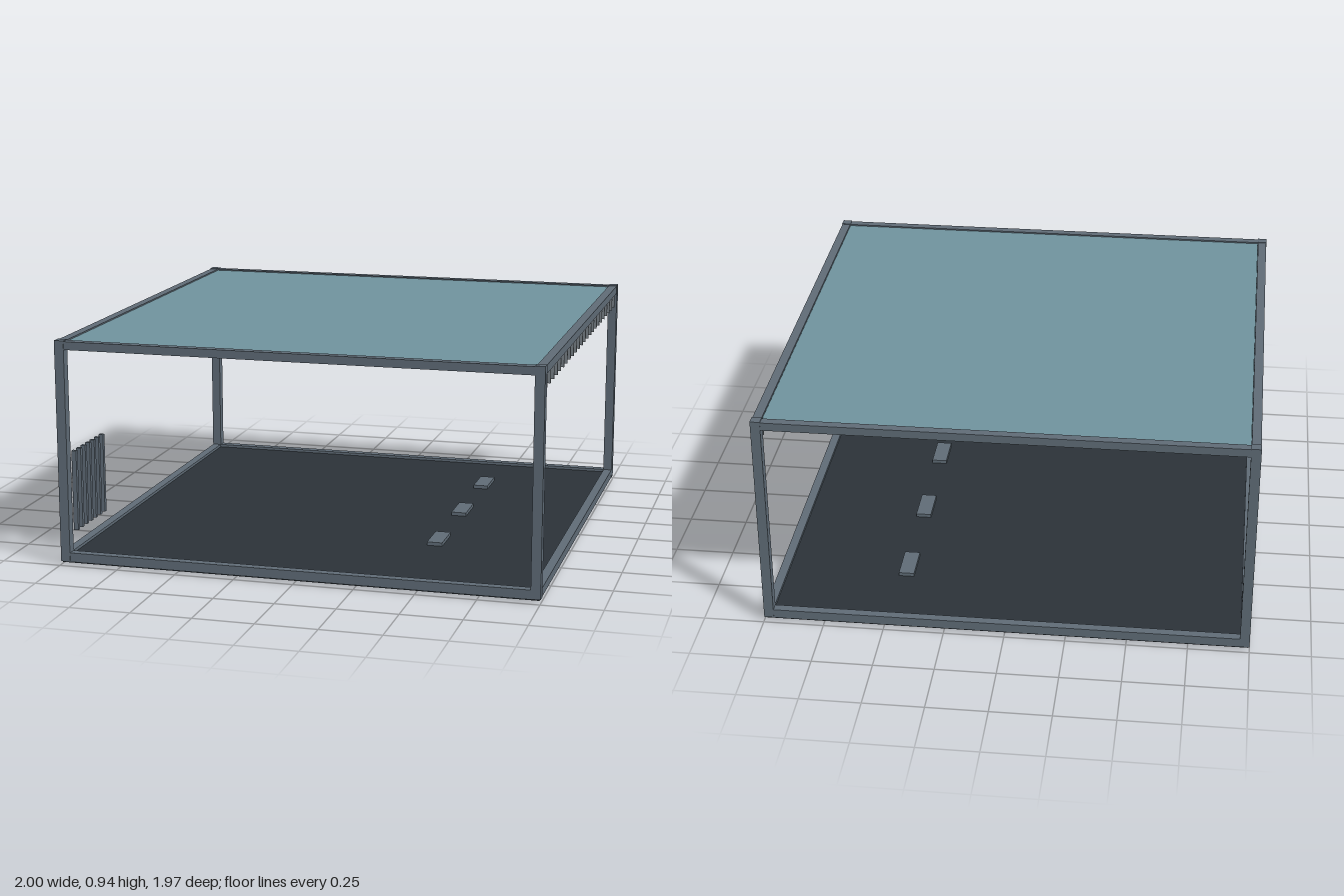
import * as THREE from 'three';

const mat = (name, color) => {
  const m = new THREE.MeshStandardMaterial({ color });
  m.name = name;
  return m;
};

export function createModel() {
  const steel = mat('slate steel', 0x5f6b76);
  const glass = mat('blue grey roof', 0x6f929d);
  const dark = mat('dark floor', 0x2b3238);
  const grey = mat('light grey', 0x767e85);

  const model = new THREE.Group();
  model.name = 'pavilion';

  const group = (name) => {
    const g = new THREE.Group();
    g.name = name;
    model.add(g);
    return g;
  };
  // Box given by its size and centre
  const box = (parent, name, material, w, h, d, x, y, z) => {
    const mesh = new THREE.Mesh(new THREE.BoxGeometry(w, h, d), material);
    mesh.name = name;
    mesh.position.set(x, y, z);
    parent.add(mesh);
    return mesh;
  };

  const W = 2, D = 1.97, T = 0.04;
  const px = W / 2 - T / 2, pz = D / 2 - T / 2;

  // Base plate and roof panel
  box(model, 'floor', dark, W - 0.01, 0.03, D - 0.01, 0, 0.025, 0);
  box(model, 'roofPanel', glass, W - 2 * T, 0.016, D - 2 * T, 0, 0.924, 0);

  // Frame: four posts, with a ring of beams below and above
  const frame = group('frame');
  for (const sx of [-1, 1]) {
    for (const sz of [-1, 1]) {
      box(frame, 'post', steel, T, 0.925, T, sx * px, 0.4775, sz * pz);
    }
  }
  for (const [label, y, h] of [['lowerBeam', 0.034, 0.036], ['upperBeam', 0.92, 0.034]]) {
    for (const s of [-1, 1]) {
      box(frame, label, steel, W - 2 * T, h, T - 0.003, 0, y, s * pz);
      box(frame, label, steel, T - 0.003, h, D - 2 * T, s * px, y, 0);
    }
  }

  // Low feet under the corners
  const feet = group('feet');
  for (const sx of [-1, 1]) {
    for (const sz of [-1, 1]) {
      const foot = new THREE.Mesh(new THREE.CylinderGeometry(0.043, 0.043, 0.012, 20), dark);
      foot.name = 'foot';
      foot.position.set(sx * 0.91, 0.006, sz * 0.895);
      feet.add(foot);
    }
  }

  // Vertical louvre slats on the right-hand side
  const slats = group('louvre');
  for (let i = 0; i < 7; i++) {
    box(slats, 'slat', steel, 0.02, 0.34, 0.018, -0.98, 0.285, 0.857 - i * 0.0492);
  }

  // Row of small hanging fins under the left-hand roof beam
  const fins = group('fins');
  for (let i = 0; i < 24; i++) {
    box(fins, 'fin', grey, 0.03, 0.052, 0.007, 0.98, 0.869, 0.908 - i * 0.079);
  }

  // Thin plates set on the floor
  const plates = group('floorPlates');
  for (const z of [0.375, -0.1, -0.575]) {
    box(plates, 'floorPlate', steel, 0.065, 0.016, 0.165, 0.457, 0.047, z);
  }

  return model;
}
